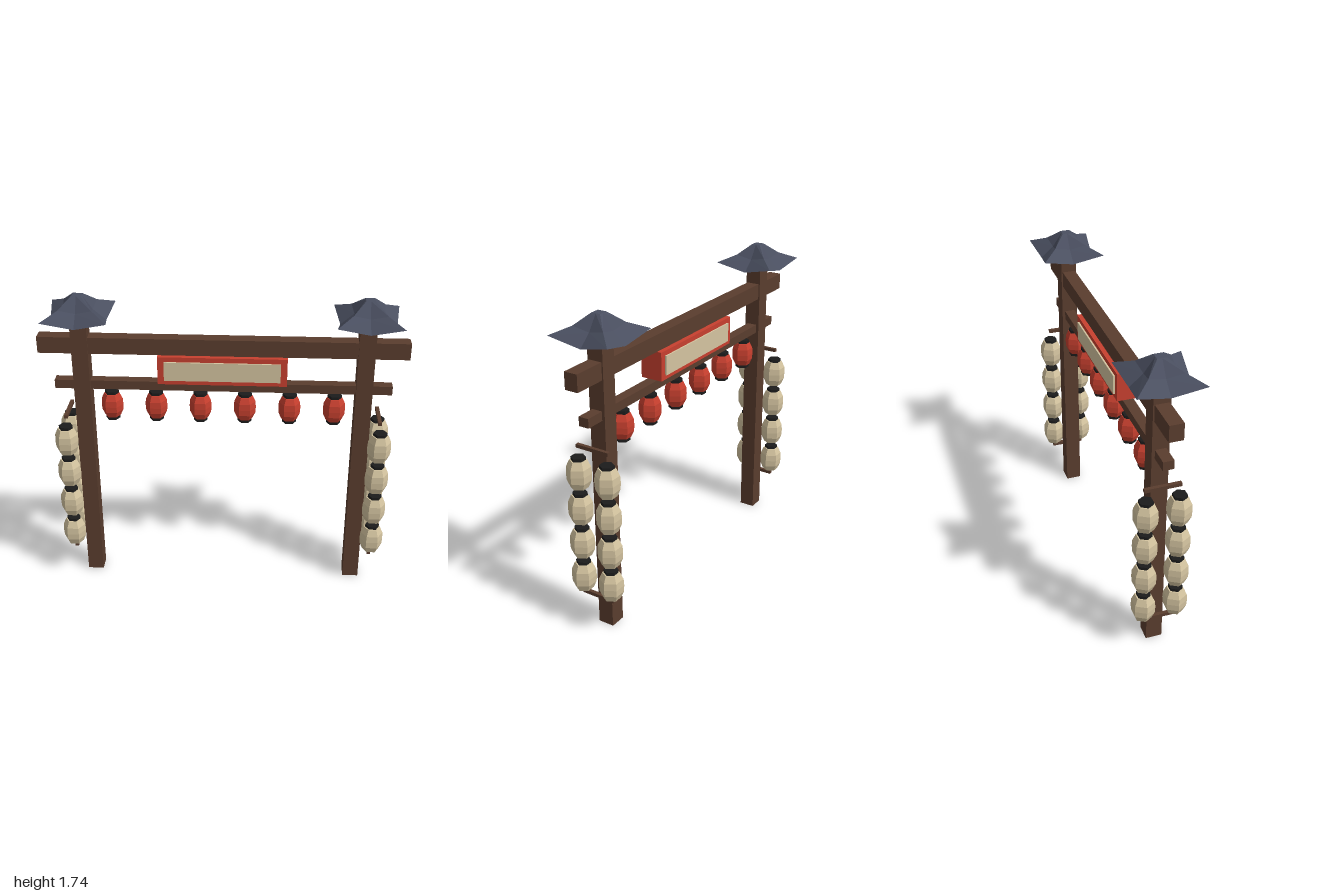
import * as THREE from 'three';

const mat = (name, color, extra = {}) => {
  const m = new THREE.MeshStandardMaterial({ color, flatShading: true, ...extra });
  m.name = name;
  return m;
};

export function createModel() {
  const wood = mat('dark wood', 0x5a3d2e);
  const red = mat('lantern red', 0xc8402f);
  const cream = mat('cream paper', 0xd4c4a0);
  const black = mat('black cap', 0x1c1c1c);
  const slate = mat('slate roof', 0x4a4f60, { side: THREE.DoubleSide });

  const model = new THREE.Group();
  model.name = 'lanternGate';

  const add = (name, geometry, material, x, y, z, parent = model) => {
    const mesh = new THREE.Mesh(geometry, material);
    mesh.name = name;
    mesh.position.set(x, y, z);
    parent.add(mesh);
    return mesh;
  };
  const box = (name, material, w, y0, y1, d, x = 0, z = 0) =>
    add(name, new THREE.BoxGeometry(w, y1 - y0, d), material, x, (y0 + y1) / 2, z);

  // Six-sided paper body, closed at both ends
  const lanternBody = (r, h) => new THREE.LatheGeometry(
    [[0, -0.5], [0.7, -0.5], [0.96, -0.25], [1, 0], [0.96, 0.25], [0.7, 0.5], [0, 0.5]]
      .map(([a, b]) => new THREE.Vector2(a * r, b * h)), 6, Math.PI / 6);
  const capGeometry = new THREE.CylinderGeometry(0.039, 0.039, 0.018, 6, 1, false, Math.PI / 6);

  const lantern = (name, geometry, material, h, x, y, z, bottomCap) => {
    const group = new THREE.Group();
    group.name = name;
    group.position.set(x, y, z);
    add('lanternBody', geometry, material, 0, 0, 0, group);
    add('topCap', capGeometry, black, 0, h / 2 + 0.008, 0, group);
    if (bottomCap) add('bottomCap', capGeometry, black, 0, -h / 2 - 0.008, 0, group);
    model.add(group);
  };

  // Flared square roof: rings of corners and edge midpoints
  const roofGeometry = () => {
    // corner half-width, corner y, midpoint half-width, midpoint y
    const rings = [[0.175, 1.642, 0.15, 1.6], [0.09, 1.682, 0.08, 1.661], [0.025, 1.74, 0.025, 1.74]];
    const positions = [];
    const index = [];
    for (const [c, cy, m, my] of rings) {
      for (let i = 0; i < 8; i++) {
        const a = (i * Math.PI) / 4;
        const r = i % 2 ? c * Math.SQRT2 : m;
        positions.push(Math.cos(a) * r, i % 2 ? cy : my, Math.sin(a) * r);
      }
    }
    for (let k = 0; k < 2; k++) {
      for (let i = 0; i < 8; i++) {
        const a = k * 8 + i, b = k * 8 + (i + 1) % 8, c = b + 8, d = a + 8;
        // diagonals mirror about each corner
        if (i % 2) index.push(a, d, c, a, c, b);
        else index.push(a, d, b, d, c, b);
      }
    }
    for (let i = 1; i < 7; i++) index.push(16, 16 + i + 1, 16 + i);
    const g = new THREE.BufferGeometry();
    g.setAttribute('position', new THREE.Float32BufferAttribute(positions, 3));
    g.setIndex(index);
    const flat = g.toNonIndexed();
    flat.computeVertexNormals();
    return flat;
  };

  // Crossbeams
  box('topBeam', wood, 2, 1.418, 1.51, 0.075);
  box('lowerBeam', wood, 1.845, 1.205, 1.255, 0.058);

  // Sign board with a paper panel on each face
  box('signFrame', red, 0.7, 1.258, 1.417, 0.125);
  for (const s of [1, -1]) box('signPanel', cream, 0.63, 1.283, 1.39, 0.009, 0, s * 0.067);

  // Row of red lanterns under the lower beam
  const redBody = lanternBody(0.061, 0.137);
  for (let i = 0; i < 6; i++) {
    lantern('redLantern', redBody, red, 0.137, (i - 2.5) * 0.246, 1.102, 0, true);
  }

  // Each side: post, roof, lantern rods and two columns of paper lanterns
  const paperBody = lanternBody(0.066, 0.154);
  const roof = roofGeometry();
  for (const s of [1, -1]) {
    box('post', wood, 0.09, 0, 1.66, 0.09, s * 0.77);
    add('postRoof', roof, slate, s * 0.77, 0, 0);
    for (const y of [0.198, 1.052]) box('lanternRod', wood, 0.02, y, y + 0.019, 0.196, s * 0.863);
    for (const z of [0.089, -0.089]) {
      for (let i = 0; i < 4; i++) {
        lantern('paperLantern', paperBody, cream, 0.154, s * 0.87, 0.31 + i * 0.2, z, false);
      }
    }
  }

  return model;
}
